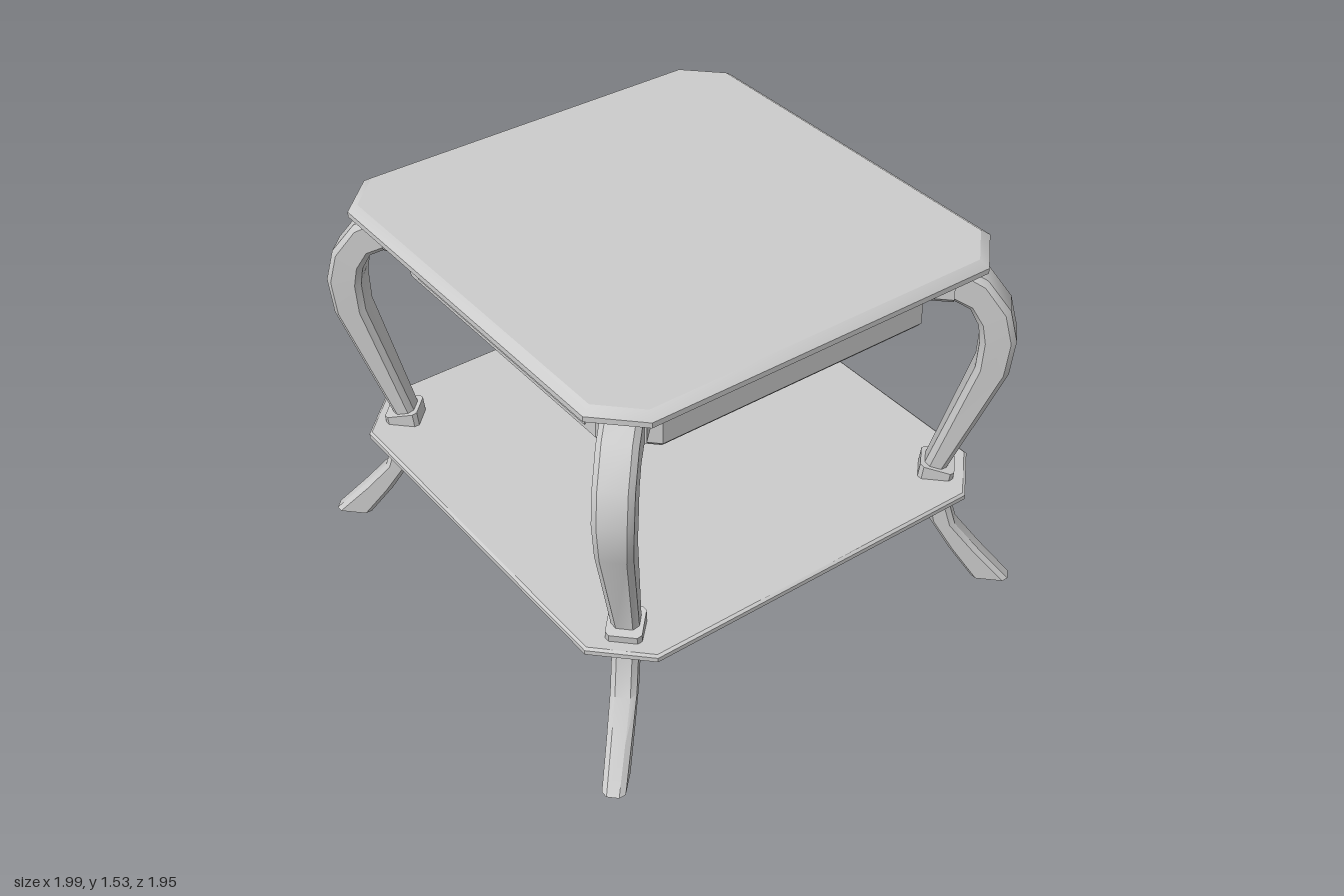
import * as THREE from 'three';
import { toCreasedNormals } from 'three/addons/utils/BufferGeometryUtils.js';

const material = new THREE.MeshStandardMaterial({ color: 0xcccccc });

// Skin a stack of equal-sized rings of [x, y, z] points and cap both ends.
function loft(rings) {
  const n = rings[0].length;
  const index = [];
  for (let i = 0; i < rings.length - 1; i++) {
    for (let j = 0; j < n; j++) {
      const k = (j + 1) % n;
      const a = i * n + j, b = i * n + k, c = b + n, d = a + n;
      index.push(a, b, c, a, c, d);
    }
  }
  const last = (rings.length - 1) * n;
  for (let j = 1; j < n - 1; j++) {
    index.push(0, j + 1, j, last, last + j, last + j + 1);
  }
  const geometry = new THREE.BufferGeometry();
  geometry.setAttribute('position', new THREE.Float32BufferAttribute(rings.flat(2), 3));
  geometry.setIndex(index);
  return toCreasedNormals(geometry, 0.6);
}

// Rectangle with cut corners, anticlockwise from above: [x, z] pairs.
function cutRect(hx, hz, cx, cz = cx) {
  return [
    [hx, hz - cz], [hx, -hz + cz], [hx - cx, -hz], [-hx + cx, -hz],
    [-hx, -hz + cz], [-hx, hz - cz], [-hx + cx, hz], [hx - cx, hz],
  ];
}

function addMesh(parent, name, geometry) {
  const mesh = new THREE.Mesh(geometry, material);
  mesh.name = name;
  parent.add(mesh);
  return mesh;
}

// Flat slab from levels of [y, inset].
function slab(hx, hz, cut, levels) {
  return loft(levels.map(([y, inset]) =>
    cutRect(hx - inset, hz - inset, cut - inset * 0.59).map(([x, z]) => [x, y, z])));
}

// Chamfered bar from sections of [outer r, outer y, inner r, inner y, width].
function bar(sections, chamfer) {
  return loft(sections.map(([ro, yo, ri, yi, width]) => {
    const ur = (ro - ri) / 2, uy = (yo - yi) / 2;
    const half = Math.hypot(ur, uy);
    return cutRect(1, width / 2, chamfer / half, chamfer).map(([p, z]) =>
      [(ro + ri) / 2 + ur * p, (yo + yi) / 2 + uy * p, z]);
  }));
}

// Leg sections from the foot up to the bent top, in the diagonal plane.
const LEG = [
  [1.368, 0, 1.223, 0, 0.085],
  [1.24, 0.14, 1.122, 0.14, 0.09],
  [1.138, 0.26, 1.037, 0.28, 0.095],
  [1.09, 0.42, 0.997, 0.43, 0.095],
  [1.08, 0.535, 0.998, 0.555, 0.1],
  [1.265, 1.01, 1.142, 1.03, 0.13],
  [1.278, 1.16, 1.147, 1.15, 0.14],
  [1.244, 1.29, 1.135, 1.22, 0.14],
  [1.152, 1.41, 1.10, 1.285, 0.14],
  [1.067, 1.455, 1.04, 1.315, 0.14],
  [0.94, 1.46, 0.94, 1.33, 0.14],
];

export function createModel() {
  const table = new THREE.Group();
  table.name = 'sideTable';

  // Bevelled top and the moulding under it
  addMesh(table, 'tableTop', slab(0.9, 0.877, 0.155,
    [[1.475, 0.012], [1.482, 0], [1.503, 0], [1.527, 0.035]]));
  addMesh(table, 'topMoulding', slab(0.78, 0.755, 0.16, [[1.458, 0.01], [1.476, 0]]));

  // Drawer box with cut corners
  addMesh(table, 'apron', slab(0.75, 0.727, 0.158, [[1.232, 0.015], [1.25, 0], [1.46, 0]]));

  // Drawer front, drawn as a slab lying flat and stood up
  const drawer = addMesh(table, 'drawerFront', slab(0.533, 0.097, 0.002,
    [[-0.02, 0], [0.003, 0], [0.008, 0.012]]));
  drawer.rotation.x = Math.PI / 2;
  drawer.position.set(0, 1.364, 0.727);
  const knob = addMesh(table, 'drawerKnob', slab(0.018, 0.018, 0.008,
    [[0, 0.004], [0.008, 0.002], [0.014, 0], [0.02, 0.005]]));
  knob.rotation.x = Math.PI / 2;
  knob.position.set(0, 1.366, 0.727);

  // Lower shelf with softened edge
  addMesh(table, 'shelf', slab(0.92, 0.897, 0.18,
    [[0.465, 0.01], [0.474, 0], [0.492, 0], [0.5, 0.01]]));

  // Four legs on the diagonals, each with its collars and top block
  const legGeometry = bar(LEG, 0.02);
  const upperCollar = bar([
    [1.108, 0.495, 0.975, 0.495, 0.13], [1.112, 0.53, 0.982, 0.56, 0.13],
  ], 0.015);
  const lowerCollar = bar([
    [1.108, 0.43, 0.975, 0.435, 0.13], [1.108, 0.47, 0.975, 0.47, 0.13],
  ], 0.015);
  const topBlock = bar([
    [1.04, 1.465, 1.04, 1.31, 0.155], [0.92, 1.465, 0.92, 1.31, 0.155],
  ], 0.025);
  for (const sx of [-1, 1]) {
    for (const sz of [-1, 1]) {
      const leg = new THREE.Group();
      leg.name = (sz > 0 ? 'front' : 'back') + (sx > 0 ? 'Left' : 'Right') + 'Leg';
      addMesh(leg, 'curvedLeg', legGeometry);
      addMesh(leg, 'upperCollar', upperCollar);
      addMesh(leg, 'lowerCollar', lowerCollar);
      addMesh(leg, 'topBlock', topBlock);
      leg.rotation.y = Math.atan2(-sz, sx);
      leg.position.set(sx * 0.01, 0, -sz * 0.01);
      table.add(leg);
    }
  }
  return table;
}
